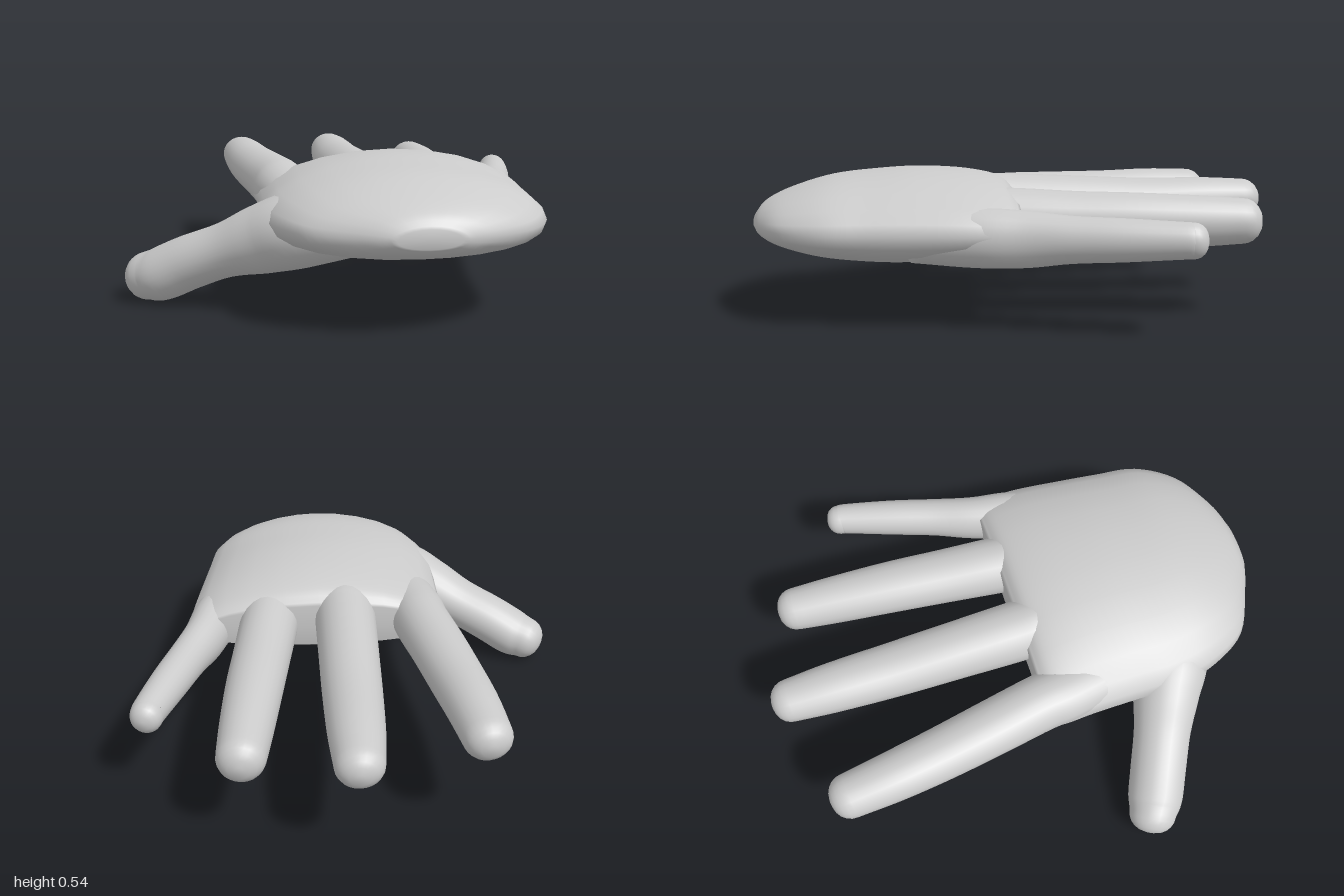
import * as THREE from 'three';

const SIDES = 24;
const STEPS = 5; // rings between neighbouring key sections

// Skin a list of rings into one closed, smooth surface
function skin(name, rings) {
  const pos = [], index = [], n = rings.length;
  rings.forEach(ring => ring.forEach(p => pos.push(p.x, p.y, p.z)));
  for (let i = 0; i < n - 1; i++) {
    for (let j = 0; j < SIDES; j++) {
      const k = (j + 1) % SIDES;
      const a = i * SIDES + j, b = i * SIDES + k, c = a + SIDES, d = b + SIDES;
      index.push(a, c, b, b, c, d);
    }
  }
  [0, n - 1].forEach(i => {
    const mid = new THREE.Vector3();
    rings[i].forEach(p => mid.addScaledVector(p, 1 / SIDES));
    const m = pos.length / 3;
    pos.push(mid.x, mid.y, mid.z);
    for (let j = 0; j < SIDES; j++) {
      const a = i * SIDES + j, b = i * SIDES + (j + 1) % SIDES;
      if (i === 0) index.push(m, a, b);
      else index.push(m, b, a);
    }
  });
  const geo = new THREE.BufferGeometry();
  geo.setAttribute('position', new THREE.Float32BufferAttribute(pos, 3));
  geo.setIndex(index);
  geo.computeVertexNormals();
  const mesh = new THREE.Mesh(geo, new THREE.MeshStandardMaterial({ color: 0xcccccc }));
  mesh.name = name;
  return mesh;
}

// Two smooth curves through the first and last three numbers of each row
function curves(rows) {
  const make = from => new THREE.CatmullRomCurve3(
    rows.map(r => new THREE.Vector3(r[from], r[from + 1], r[from + 2] || 0)), false, 'catmullrom', 0.5);
  return [make(0), make(3)];
}

function ringOf(fn) {
  return Array.from({ length: SIDES }, (_, j) => {
    const a = (j / SIDES) * Math.PI * 2;
    return fn(Math.cos(a), Math.sin(a));
  });
}

// Finger: rows of x, y, z, half width, half height, ending in a rounded tip
function finger(name, rows) {
  const [path, size] = curves(rows);
  const count = (rows.length - 1) * STEPS;
  const rings = [];
  const add = (centre, t, w, h) => {
    const side = new THREE.Vector3().crossVectors(t, new THREE.Vector3(0, 1, 0)).normalize();
    const up = new THREE.Vector3().crossVectors(side, t);
    rings.push(ringOf((c, s) => centre.clone().addScaledVector(side, c * w).addScaledVector(up, s * h)));
  };
  for (let i = 0; i <= count; i++) {
    const u = i / count, s = size.getPoint(u);
    add(path.getPoint(u), path.getTangent(u), s.x, s.y);
  }
  const end = path.getPoint(1), t = path.getTangent(1), s = size.getPoint(1);
  for (let k = 1; k <= 5; k++) {
    const a = (k / 5.4) * Math.PI / 2, f = Math.pow(Math.cos(a), 0.85);
    add(end.clone().addScaledVector(t, s.x * 0.85 * Math.sin(a)), t, s.x * f, s.y * f);
  }
  return skin(name, rings);
}

// Palm: rows of z, left x, right x, top y, bottom y, rim y
function palm(rows) {
  const [span, height] = curves(rows);
  const count = (rows.length - 1) * STEPS;
  const rings = [];
  for (let i = 0; i <= count; i++) {
    const a = span.getPoint(i / count), h = height.getPoint(i / count);
    const mid = (a.y + a.z) / 2, half = (a.z - a.y) / 2;
    rings.push(ringOf((c, s) => {
      const y = s > 0 ? h.z + (h.x - h.z) * Math.pow(s, 1.15) : h.z - (h.z - h.y) * Math.pow(-s, 0.85);
      return new THREE.Vector3(mid + half * c, y, a.x);
    }));
  }
  return skin('palm', rings);
}

export function createModel() {
  const hand = new THREE.Group();
  hand.name = 'hand';

  hand.add(palm([
    [1.0, 0.05, 0.26, 0.385, 0.32, 0.35],
    [0.96, -0.05, 0.38, 0.43, 0.29, 0.35],
    [0.87, -0.22, 0.53, 0.475, 0.26, 0.35],
    [0.72, -0.31, 0.625, 0.52, 0.225, 0.35],
    [0.55, -0.35, 0.65, 0.54, 0.205, 0.35],
    [0.38, -0.35, 0.67, 0.55, 0.205, 0.35],
    [0.2, -0.35, 0.69, 0.54, 0.225, 0.35],
    [0.07, -0.355, 0.69, 0.51, 0.25, 0.35],
    [0.015, -0.345, 0.67, 0.46, 0.28, 0.355],
  ]));

  hand.add(finger('indexFinger', [
    [-0.19, 0.36, 0.35, 0.11, 0.085],
    [-0.235, 0.37, 0.12, 0.115, 0.105],
    [-0.25, 0.375, 0.0, 0.112, 0.11],
    [-0.287, 0.385, -0.2, 0.11, 0.1],
    [-0.325, 0.39, -0.42, 0.105, 0.095],
    [-0.355, 0.4, -0.62, 0.098, 0.09],
    [-0.375, 0.405, -0.8, 0.088, 0.08],
  ]));
  hand.add(finger('middleFinger', [
    [0.07, 0.38, 0.35, 0.11, 0.1],
    [0.062, 0.39, 0.12, 0.122, 0.12],
    [0.06, 0.39, 0.0, 0.122, 0.12],
    [0.06, 0.39, -0.25, 0.116, 0.11],
    [0.06, 0.39, -0.5, 0.11, 0.1],
    [0.06, 0.4, -0.75, 0.1, 0.09],
    [0.06, 0.405, -0.92, 0.086, 0.078],
  ]));
  hand.add(finger('ringFinger', [
    [0.32, 0.36, 0.35, 0.11, 0.1],
    [0.36, 0.37, 0.12, 0.118, 0.115],
    [0.373, 0.37, 0.0, 0.116, 0.115],
    [0.393, 0.37, -0.2, 0.111, 0.105],
    [0.415, 0.37, -0.42, 0.106, 0.1],
    [0.435, 0.365, -0.65, 0.096, 0.095],
    [0.447, 0.365, -0.81, 0.086, 0.085],
  ]));
  hand.add(finger('littleFinger', [
    [0.53, 0.33, 0.4, 0.08, 0.09],
    [0.59, 0.335, 0.17, 0.093, 0.105],
    [0.63, 0.335, 0.0, 0.083, 0.1],
    [0.68, 0.34, -0.15, 0.075, 0.083],
    [0.733, 0.345, -0.32, 0.071, 0.075],
    [0.785, 0.35, -0.5, 0.062, 0.064],
    [0.793, 0.35, -0.54, 0.059, 0.062],
  ]));
  // Thumb, angled down and outward with a broad fleshy root
  hand.add(finger('thumb', [
    [0.02, 0.335, 0.64, 0.14, 0.1],
    [-0.2, 0.31, 0.575, 0.155, 0.135],
    [-0.34, 0.265, 0.51, 0.135, 0.125],
    [-0.47, 0.215, 0.45, 0.115, 0.1],
    [-0.6, 0.16, 0.39, 0.112, 0.1],
    [-0.7, 0.11, 0.345, 0.11, 0.1],
    [-0.755, 0.095, 0.315, 0.095, 0.09],
  ]));
  return hand;
}
